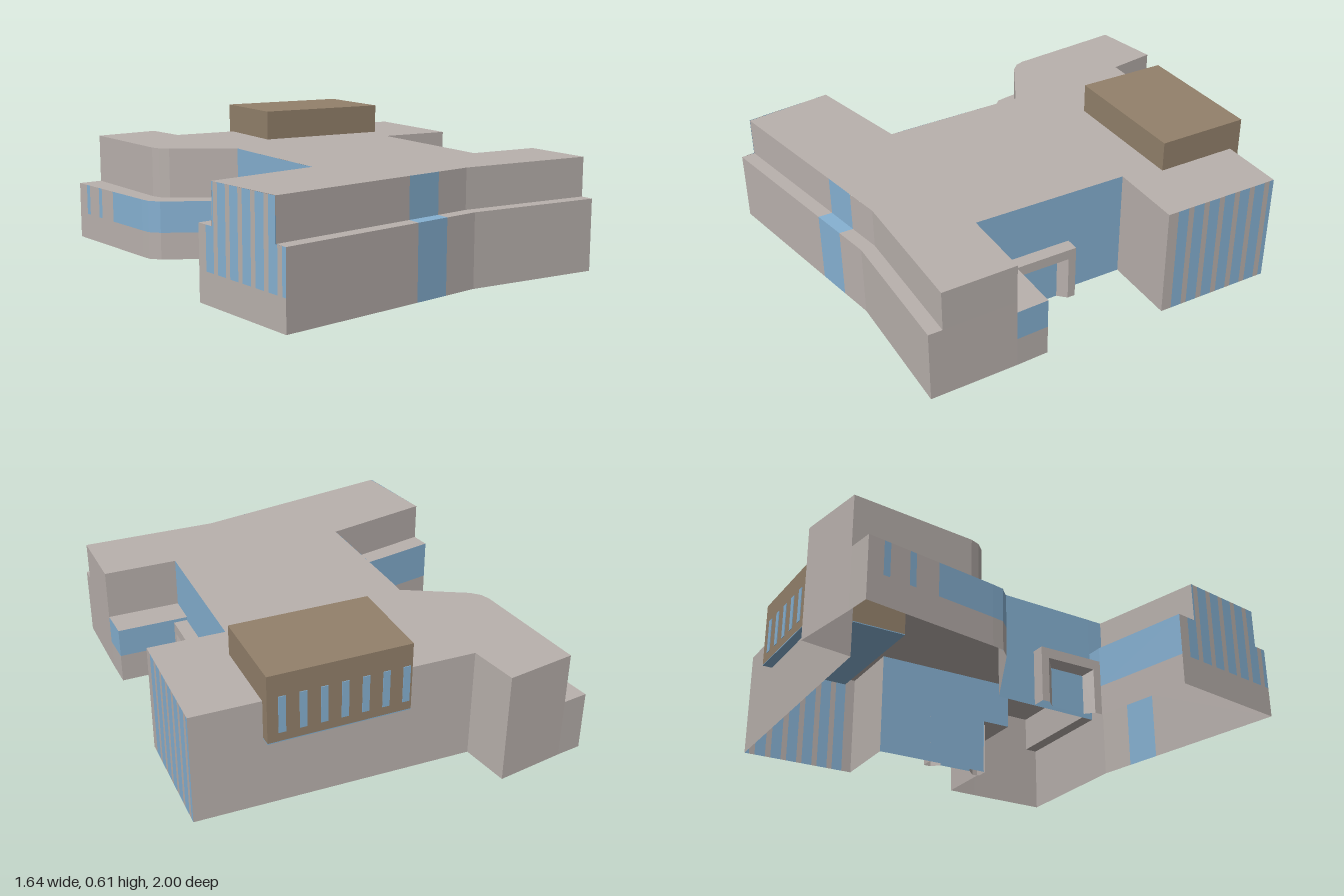
import * as THREE from 'three';

const material = (name, color) => {
  const m = new THREE.MeshStandardMaterial({ color, side: THREE.DoubleSide });
  m.name = name;
  return m;
};

export function createModel() {
  const wall = material('warm grey wall', 0xb9b1ad);
  const glass = material('blue glass', 0x86b1d2);
  const brown = material('brown cladding', 0x93816b);

  const model = new THREE.Group();
  model.name = 'building';

  const add = (name, geometry, mat, parent = model) => {
    const mesh = new THREE.Mesh(geometry, mat);
    mesh.name = name;
    parent.add(mesh);
    return mesh;
  };

  // Flat-faced skin between successive cross-sections of equal length
  const loft = (sections) => {
    const pos = [];
    for (let s = 0; s < sections.length - 1; s++) {
      const a = sections[s], b = sections[s + 1];
      for (let i = 0; i < a.length - 1; i++) {
        pos.push(...a[i], ...a[i + 1], ...b[i + 1], ...a[i], ...b[i + 1], ...b[i]);
      }
    }
    const g = new THREE.BufferGeometry();
    g.setAttribute('position', new THREE.Float32BufferAttribute(pos, 3));
    g.computeVertexNormals();
    return g;
  };

  // Upright wall along a plan path of [x, z] points
  const strip = (name, path, y0, y1, mat = wall) =>
    add(name, loft([y0, y1].map((y) => path.map(([x, z]) => [x, y, z]))), mat);

  // Horizontal surface from a plan outline
  const cap = (name, path, y, mat = wall) => {
    const shape = new THREE.Shape(path.map(([x, z]) => new THREE.Vector2(x, -z)));
    add(name, new THREE.ShapeGeometry(shape).rotateX(-Math.PI / 2).translate(0, y, 0), mat);
  };

  const lerp = (a, b, t) => [a[0] + (b[0] - a[0]) * t, a[1] + (b[1] - a[1]) * t];

  // Straight wall with glass between the given fractions, clipped to [f0, f1]
  const glazed = (name, a, b, spans, y0, y1, f0 = 0, f1 = 1) => {
    let f = f0;
    const piece = (to, mat, part) => {
      if (to - f > 1e-4) strip(name + part, [lerp(a, b, f), lerp(a, b, to)], y0, y1, mat);
      f = Math.max(f, to);
    };
    for (const [s, e] of spans) {
      piece(Math.min(s, f1), wall, 'Wall');
      piece(Math.min(e, f1), glass, 'Window');
    }
    piece(f1, wall, 'Wall');
  };
  const stripes = [];
  for (let i = 0; i < 7; i++) stripes.push([0.09 + 0.145 * i, 0.185 + 0.145 * i]);

  const H = 0.48, STEP = 0.31, LOW = 0.26, SILL = 0.13;

  // Main roof
  const wingUpper = [[-0.70, -0.95], [-0.645, -0.42], [-0.63, -0.38], [-0.595, -0.345], [-0.33, -0.20]];
  cap('mainRoof', [
    [-0.745, 0.94], [0.20, 0.765], [0.81, 0.77], [0.805, 0.45], [0.48, 0.45], [0.485, -0.24],
    [0.815, -0.235], [0.82, -0.765], [-0.365, -0.785], [-0.40, -1.0], ...wingUpper,
    [-0.33, -0.105], [-0.315, 0.44], [-0.807, 0.55],
  ], H);

  // Stepped front with a glass band running up over the ledge
  const low = [[-0.74, 1.0], [-0.11, 0.883], [0.045, 0.854], [0.20, 0.825], [0.81, 0.83]];
  const up = [[-0.745, 0.94], [-0.11, 0.822], [0.045, 0.794], [0.20, 0.765], [0.81, 0.77]];
  for (let i = 0; i < 4; i++) {
    const mat = i === 1 ? glass : wall;
    strip('frontLowerWall', [low[i], low[i + 1]], 0, STEP, mat);
    strip('frontUpperWall', [up[i], up[i + 1]], STEP, H, mat);
    cap('frontLedge', [low[i], low[i + 1], up[i + 1], up[i]], STEP, mat);
  }

  // Left end of the front wing and its low rear block
  strip('frontWingEndLower', [[0.81, 0.83], [0.805, 0.45]], 0, STEP);
  strip('frontWingEndUpper', [[0.81, 0.77], [0.805, 0.45]], STEP, H);
  strip('frontWingRearWall', [[0.805, 0.45], [0.48, 0.45]], LOW, H);
  const block = [[0.805, 0.45], [0.80, 0.31], [0.48, 0.31]];
  strip('rearBlockBase', block, 0, SILL);
  strip('rearBlockWindow', block, SILL, LOW, glass);
  cap('rearBlockRoof', [...block, [0.48, 0.45]], LOW);

  // Left courtyard and the striped end wall
  strip('leftCourtGlass', [[0.481, 0.31], [0.485, -0.24]], 0, H, glass);
  strip('leftCourtGlassUpper', [[0.48, 0.45], [0.481, 0.31]], LOW, H, glass);
  strip('courtReturnWall', [[0.485, -0.24], [0.815, -0.235]], 0, H);
  glazed('stripedEnd', [0.815, -0.235], [0.82, -0.765], stripes, 0, H);

  // Back wall and angled rear wing
  strip('backWall', [[0.82, -0.765], [-0.365, -0.785], [-0.40, -1.0], [-0.70, -0.95]], 0, H);
  strip('rearWingLowEnd', [[-0.70, -0.95], [-0.81, -0.935]], 0, LOW);
  strip('rearWingUpperWall', wingUpper, LOW, H);
  const bend = [[-0.72, -0.37], [-0.71, -0.32], [-0.67, -0.28]];
  const wingStart = [-0.81, -0.935], wingEnd = [-0.33, -0.105];
  strip('rearWingBase', [wingStart, ...bend, wingEnd], 0, 0.12);
  glazed('rearWing', wingStart, bend[0], [[0.12, 0.17], [0.32, 0.37], [0.55, 1]], 0.12, LOW);
  strip('rearWingCornerWindow', bend, 0.12, LOW, glass);
  glazed('rearWingInner', bend[2], wingEnd, [[0, 0.58]], 0.12, LOW);
  cap('rearWingLedge', [wingStart, ...bend, wingEnd, ...[...wingUpper].reverse()], LOW);

  // Right courtyard
  strip('rightCourtGlassCorner', [[-0.33, -0.20], [-0.33, -0.105]], LOW, H, glass);
  strip('rightCourtGlass', [[-0.33, -0.105], [-0.318, 0.37]], 0, H, glass);
  strip('rightCourtGlassUpper', [[-0.318, 0.37], [-0.315, 0.44]], STEP, H, glass);

  // Right side of the front wing with its rear ledge and striped end
  const ledge = [[-0.318, 0.37], [-0.39, 0.37], [-0.82, 0.46]];
  strip('rightWingBase', ledge, 0, SILL);
  strip('rightWingWindow', ledge, SILL, STEP, glass);
  strip('rightWingUpperWall', [[-0.315, 0.44], [-0.807, 0.55]], STEP, H);
  cap('rightWingLedge', [...ledge, [-0.807, 0.55], [-0.315, 0.44]], STEP);
  const endA = [-0.82, 0.46], endB = [-0.74, 1.0];
  strip('rightEndBase', [endA, endB], 0, SILL);
  glazed('rightEndLower', endA, endB, stripes, SILL, STEP);
  glazed('rightEndUpper', endA, endB, stripes, STEP, H, 0.167, 0.889);

  // Entrance portals with splayed reveals
  const arch = (w, h, d) => [[d, 0, -w], [d, h, -w], [d, h, w], [d, 0, w]];
  const portal = (name, x, z, turn) => {
    const g = new THREE.Group();
    g.name = name;
    g.position.set(x, 0, z);
    g.rotation.y = turn;
    const inner = arch(0.08, 0.175, 0.025);
    add('portalFrame', loft([arch(0.15, 0.245, 0), arch(0.15, 0.245, 0.06), arch(0.115, 0.2, 0.06), inner]), wall, g);
    add('portalGlass', loft([[inner[0], inner[1]], [inner[3], inner[2]]]), glass, g);
    model.add(g);
  };
  portal('leftEntrance', 0.483, 0.168, 0);
  portal('rightEntrance', -0.33, 0.22, Math.PI);

  // Rooftop box overhanging the back, with slit windows and a glazed underside
  add('rooftopBox', new THREE.BoxGeometry(0.6, 0.295, 0.405).translate(0.23, 0.4635, -0.6125), brown);
  add('rooftopBoxUnderside', new THREE.BoxGeometry(0.6, 0.004, 0.405).translate(0.23, 0.314, -0.6125), glass);
  for (let i = 0; i < 7; i++) {
    add('rooftopBoxWindow', new THREE.BoxGeometry(0.03, 0.16, 0.006).translate(0.47 - 0.086 * i, 0.435, -0.815), glass);
  }

  return model;
}
